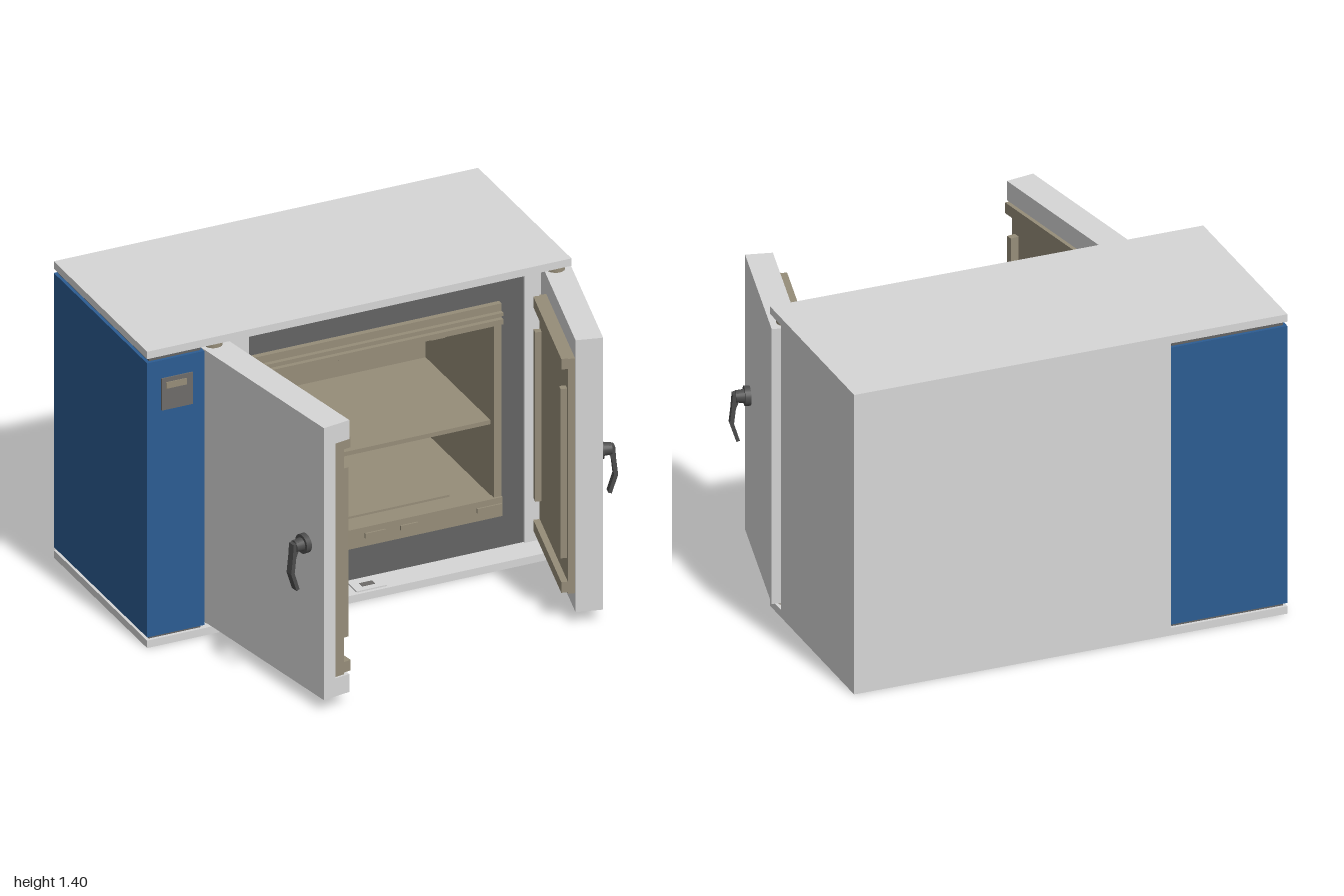
import * as THREE from 'three';

const mat = (name, hex) => {
  const m = new THREE.MeshStandardMaterial({ color: hex });
  m.name = name;
  return m;
};

export function createModel() {
  const model = new THREE.Group();
  model.name = 'cabinet';
  const white = mat('light grey paint', 0xd6d6d6);
  const tan = mat('warm steel', 0x968d79);
  const blue = mat('blue panel', 0x2c5c92);
  const dark = mat('dark grey frame', 0x636363);
  const black = mat('charcoal handle', 0x4c4c4c);
  const grey = mat('display grey', 0x6e6c69);

  // Box given by its limits on each axis
  const box = (parent, name, m, x0, x1, y0, y1, z0, z1) => {
    const g = new THREE.BoxGeometry(Math.abs(x1 - x0), y1 - y0, z1 - z0);
    g.translate((x0 + x1) / 2, (y0 + y1) / 2, (z0 + z1) / 2);
    const mesh = new THREE.Mesh(g, m);
    mesh.name = name;
    parent.add(mesh);
    return mesh;
  };
  const cylinder = (parent, name, m, r0, r1, h, x, y, z, alongZ) => {
    const g = new THREE.CylinderGeometry(r0, r1, h, 24);
    if (alongZ) g.rotateX(Math.PI / 2);
    const mesh = new THREE.Mesh(g, m);
    mesh.name = name;
    mesh.position.set(x, y, z);
    parent.add(mesh);
  };

  // Outer shell
  const shell = new THREE.Group();
  shell.name = 'shell';
  model.add(shell);
  box(shell, 'topSlab', white, -1, 0.97, 1.365, 1.4, -0.88, 0.03);
  box(shell, 'bottomSlab', white, -1, 0.97, 0, 0.035, -0.88, 0.03);
  box(shell, 'rightWall', white, 0.81, 0.97, 0.035, 1.365, -0.88, -0.09);
  box(shell, 'backPanel', white, -0.47, 0.81, 0.035, 1.365, -0.88, -0.86);
  box(shell, 'pillar', white, -0.735, -0.47, 0.035, 1.365, -0.6, -0.09);

  // Blue machine compartment with shadow gaps above and below
  const machine = new THREE.Group();
  machine.name = 'machineCompartment';
  model.add(machine);
  box(machine, 'bluePanels', blue, -1, -0.735, 0.05, 1.345, -0.88, 0.03);
  box(machine, 'blueBack', blue, -0.735, -0.47, 0.05, 1.345, -0.88, -0.6);
  box(machine, 'gapCoreSide', dark, -0.985, -0.745, 0.035, 1.365, -0.865, 0.015);
  box(machine, 'gapCoreBack', dark, -0.745, -0.48, 0.035, 1.365, -0.865, -0.61);
  box(machine, 'controlPanel', grey, -0.935, -0.79, 1.11, 1.26, 0.03, 0.036);
  box(machine, 'displayStrip', tan, -0.915, -0.82, 1.21, 1.24, 0.036, 0.039);

  // Dark frame around the chamber
  const frame = new THREE.Group();
  frame.name = 'darkFrame';
  model.add(frame);
  box(frame, 'frameTop', dark, -0.47, 0.81, 1.18, 1.365, -0.14, -0.1);
  box(frame, 'frameBottom', dark, -0.47, 0.81, 0.035, 0.22, -0.14, -0.1);
  box(frame, 'frameRight', dark, 0.68, 0.81, 0.22, 1.18, -0.14, -0.1);

  // Chamber walls
  const chamber = new THREE.Group();
  chamber.name = 'chamber';
  model.add(chamber);
  box(chamber, 'chamberBack', tan, -0.45, 0.68, 0.26, 1.14, -0.76, -0.74);
  box(chamber, 'chamberLeft', tan, -0.45, -0.43, 0.26, 1.14, -0.74, -0.09);
  box(chamber, 'chamberRight', tan, 0.66, 0.68, 0.26, 1.14, -0.74, -0.09);
  box(chamber, 'chamberFloor', tan, -0.43, 0.66, 0.26, 0.285, -0.74, -0.09);
  box(chamber, 'chamberCeiling', tan, -0.43, 0.66, 1.12, 1.14, -0.74, -0.09);
  box(chamber, 'shelf', tan, -0.43, 0.66, 0.62, 0.64, -0.74, -0.11);
  box(chamber, 'floorRail', tan, -0.3, 0.5, 0.285, 0.295, -0.2, -0.17);

  // Front flange with stepped rails
  box(chamber, 'flangeLeft', tan, -0.47, -0.43, 0.29, 1.11, -0.1, -0.075);
  box(chamber, 'flangeRight', tan, 0.66, 0.695, 0.29, 1.11, -0.1, -0.075);
  box(chamber, 'topRail', tan, -0.47, 0.695, 1.11, 1.2, -0.1, -0.075);
  box(chamber, 'topRailLowerStep', tan, -0.47, 0.695, 1.11, 1.135, -0.075, -0.055);
  box(chamber, 'topRailUpperStep', tan, -0.47, 0.695, 1.15, 1.165, -0.075, -0.055);
  box(chamber, 'bottomRail', tan, -0.47, 0.695, 0.2, 0.29, -0.1, -0.065);
  for (const [a, b] of [[-0.42, -0.22], [0.055, 0.15], [0.22, 0.3], [0.575, 0.69]])
    box(chamber, 'railSlot', tan, a, b, 0.24, 0.262, -0.065, -0.058);
  for (const x of [-0.06, 0.37]) box(chamber, 'railTab', tan, x, x + 0.065, 1.096, 1.11, -0.1, -0.075);

  // Vent hole grid on the back wall
  const hole = new THREE.CircleGeometry(0.0145, 16);
  for (let i = 0; i < 9; i++)
    for (let j = 0; j < 4; j++) {
      const vent = new THREE.Mesh(hole, white);
      vent.name = 'ventHole';
      vent.position.set(-0.012 + i * 0.05, 1.022 - j * 0.044, -0.737);
      chamber.add(vent);
    }

  // Latch plate on the sill
  box(shell, 'latchPlate', white, -0.02, 0.12, 0.035, 0.041, -0.075, 0.015);
  box(shell, 'latchSlot', grey, 0.02, 0.08, 0.041, 0.043, -0.045, -0.015);

  // Lever handle: rose, neck and bent grip
  const addHandle = (door, x, z) => {
    const h = new THREE.Group();
    h.name = 'handle';
    h.position.set(x, 0.745, z);
    door.add(h);
    cylinder(h, 'rose', black, 0.043, 0.043, 0.025, 0, 0, 0.0125, true);
    cylinder(h, 'neck', black, 0.026, 0.03, 0.04, 0, 0, 0.042, true);
    const s = new THREE.Shape();
    [[0.05, 0.022], [0.075, 0.015], [0.08, -0.05], [0.088, -0.12], [0.06, -0.205],
      [0.045, -0.2], [0.07, -0.12], [0.062, -0.05], [0.05, -0.02]]
      .forEach(([a, b], i) => (i ? s.lineTo(a, b) : s.moveTo(a, b)));
    const g = new THREE.ExtrudeGeometry(s, { depth: 0.034, bevelEnabled: false });
    g.translate(0, 0, -0.017);
    g.rotateY(-Math.PI / 2);
    const lever = new THREE.Mesh(g, black);
    lever.name = 'lever';
    h.add(lever);
  };

  // Door: origin on the hinge, dir is the closed direction along x
  const addDoor = (name, px, angle, dir, len, outer, linerFront, linerBack, rimBack) => {
    const door = new THREE.Group();
    door.name = name;
    door.position.set(px, 0, -0.02);
    door.rotation.y = angle;
    model.add(door);
    const part = (n, m, u0, u1, y0, y1, z0, z1) => box(door, n, m, dir * u0, dir * u1, y0, y1, z0, z1);
    part('doorSkin', white, -0.058, len, 0.055, 1.34, linerFront, outer);
    part('liner', tan, 0.05, len - 0.01, 0.14, 1.25, linerBack, linerFront);
    for (const y of [0.145, 1.2]) part('linerRail', tan, 0.06, len - 0.015, y, y + 0.05, rimBack, linerBack);
    for (const u of [0.07, len - 0.06]) part('linerUpright', tan, u, u + 0.03, 0.3, 1.1, rimBack, linerBack);
    for (const y of [0.045, 1.3525]) cylinder(door, 'hingePin', tan, 0.04, 0.04, 0.025, 0, y, 0, false);
    addHandle(door, dir * (len - 0.13), outer);
    return part;
  };
  const wide = addDoor('wideDoor', -0.67, -1.403, 1, 0.893, 0.06, 0, -0.05, -0.088);
  wide('doorCapBottom', white, -0.058, 0.893, 0.055, 0.14, -0.07, 0);
  wide('doorCapTop', white, -0.058, 0.893, 1.25, 1.34, -0.07, 0);
  wide('doorHingeEdge', white, -0.058, 0.05, 0.14, 1.25, -0.07, 0);
  addDoor('narrowDoor', 0.92, 1.33, -1, 0.655, 0.068, -0.05, -0.08, -0.108);

  return model;
}
